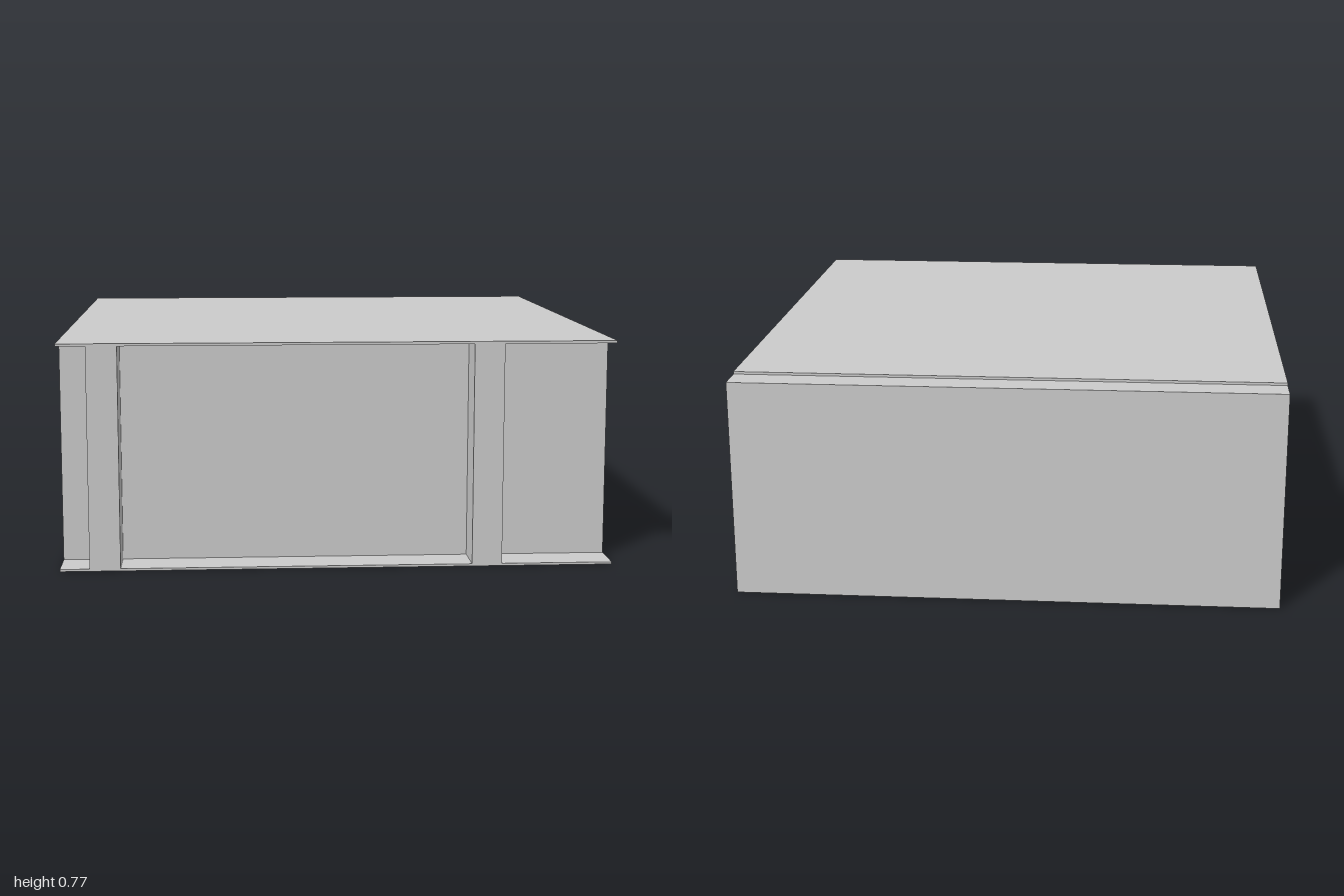
import * as THREE from 'three';

const material = new THREE.MeshStandardMaterial({ color: 0xcccccc, flatShading: true });

export function createModel() {
  const group = new THREE.Group();

  // Adds a box spanning the given ranges on each axis
  function addBox(name, [x0, x1], [y0, y1], [z0, z1]) {
    const mesh = new THREE.Mesh(new THREE.BoxGeometry(x1 - x0, y1 - y0, z1 - z0), material);
    mesh.position.set((x0 + x1) / 2, (y0 + y1) / 2, (z0 + z1) / 2);
    mesh.name = name;
    group.add(mesh);
  }

  const halfWidth = 0.945, back = -0.895, floorTop = 0.008, wallTop = 0.766;
  const full = [-halfWidth, halfWidth];
  const wallHeight = [floorTop, wallTop];

  // Thin floor and roof; the roof stops short of the back wall
  addBox('floor', full, [0, floorTop], [-1, 1]);
  addBox('roof', full, [wallTop, 0.775], [back, 1]);

  // Cross walls over the full width
  addBox('backWall', full, wallHeight, [-1, back]);
  addBox('frontWall', full, wallHeight, [0.758, 0.86]);

  // Long walls, continuing past the front wall as short fins
  for (const [side, x] of [['right', [-0.845, -0.74]], ['left', [0.46, 0.563]]]) {
    addBox(side + 'LongWall', x, wallHeight, [back, 0.758]);
    addBox(side + 'FrontFin', x, wallHeight, [0.86, 1]);
  }

  // Mid-height shelf with a notch cut from its rear left corner
  const notchX = 0.59, notchZ = 0.15, shelfFront = 0.615;
  const outline = new THREE.Shape([
    [-halfWidth, -shelfFront], [halfWidth, -shelfFront], [halfWidth, -notchZ],
    [notchX, -notchZ], [notchX, -back], [-halfWidth, -back],
  ].map(([x, y]) => new THREE.Vector2(x, y)));
  const shelfGeometry = new THREE.ExtrudeGeometry(outline, { depth: 0.008, bevelEnabled: false });
  shelfGeometry.rotateX(-Math.PI / 2);
  const shelf = new THREE.Mesh(shelfGeometry, material);
  shelf.position.y = 0.385;
  shelf.name = 'shelf';
  group.add(shelf);

  return group;
}
